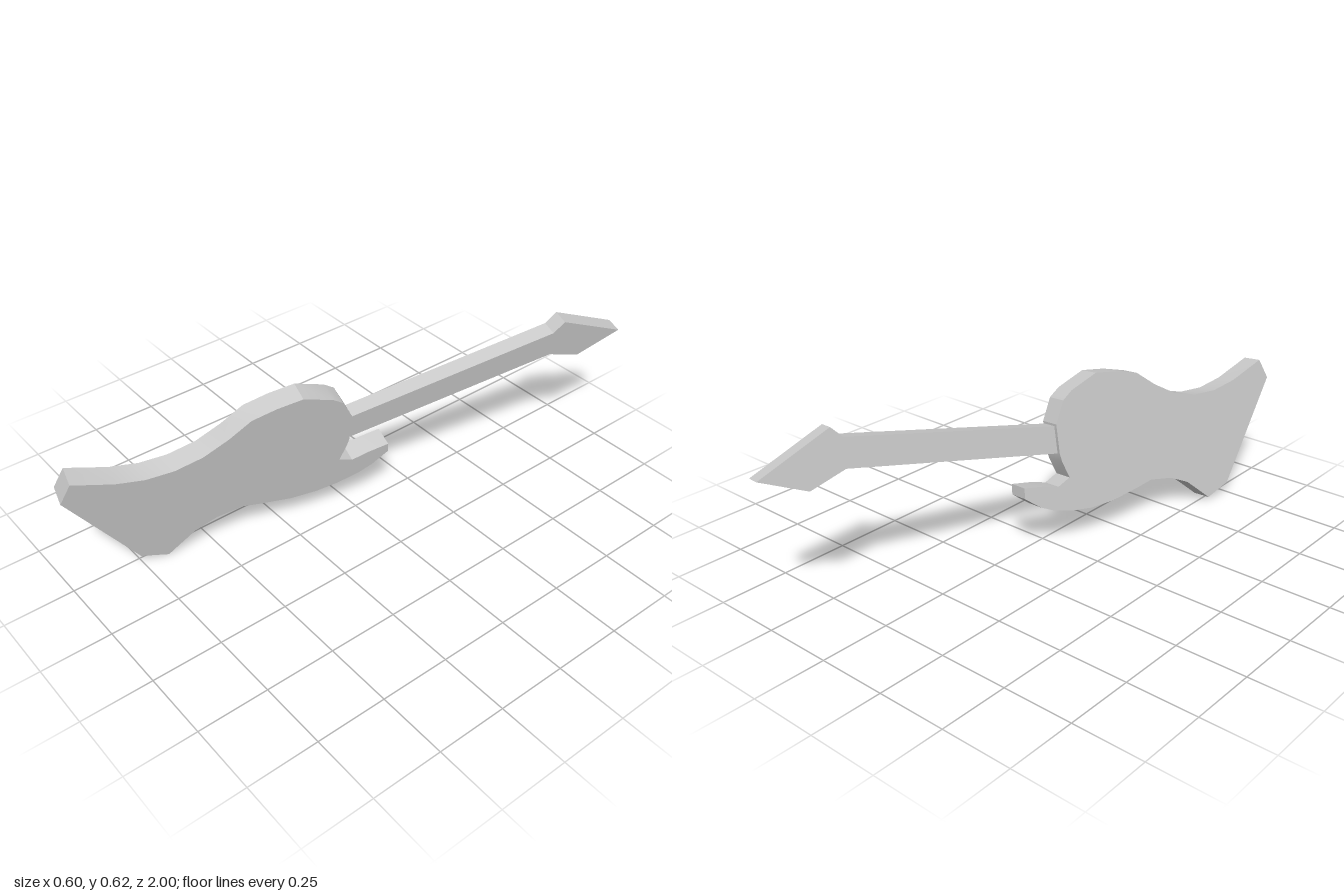
import * as THREE from 'three';
import { toCreasedNormals } from 'three/addons/utils/BufferGeometryUtils.js';

// Slanted plane of the guitar: u runs toward the head, v runs up, normal faces the strings side
const U = new THREE.Vector3(0.255, 0, -1);
const V = new THREE.Vector3(0.18, 1, 0);
const N = U.clone().cross(V).normalize();

// Flat slab cut from an outline of [z, y] points, its front face passing through x = offset
function slab(name, outline, offset, thickness, crease) {
  const shape = new THREE.Shape(outline.map(([z, y]) => new THREE.Vector2(-z, y)));
  const flat = new THREE.ExtrudeGeometry(shape, { depth: thickness, bevelEnabled: false });
  flat.translate(0, 0, -thickness);
  flat.applyMatrix4(new THREE.Matrix4().makeBasis(U, V, N).setPosition(offset, 0, 0));
  const mesh = new THREE.Mesh(
    toCreasedNormals(flat, crease),
    new THREE.MeshStandardMaterial({ color: 0xcccccc })
  );
  mesh.name = name;
  return mesh;
}

export function createModel() {
  const group = new THREE.Group();
  group.name = 'guitar';

  const body = [
    // tail and upper edge
    [1, 0.392], [0.968, 0.466], [0.83, 0.417], [0.735, 0.399], [0.642, 0.403],
    [0.55, 0.43], [0.467, 0.48], [0.395, 0.537], [0.312, 0.56], [0.224, 0.573],
    // upper bout down to the cutaway
    [0.119, 0.535], [0.08, 0.508], [0.04, 0.433], [0.038, 0.33], [0.043, 0.3], [0.064, 0.238],
    // lower horn
    [0.015, 0.217], [-0.045, 0.234], [-0.117, 0.247], [-0.121, 0.21],
    // lower edge back to the tail
    [-0.066, 0.165], [-0.017, 0.14], [0.06, 0.118], [0.135, 0.107], [0.228, 0.107],
    [0.34, 0.125], [0.405, 0.138], [0.495, 0.121], [0.568, 0.085], [0.615, 0.042],
    [0.66, 0], [0.755, 0.034],
  ];

  // Neck with arrow-shaped head; its root is buried in the body
  const neck = [
    [0.06, 0.422], [-0.7, 0.57], [-0.735, 0.609], [-0.985, 0.502],
    [-0.835, 0.432], [-0.71, 0.471], [0.06, 0.325],
  ];

  group.add(slab('body', body, -0.036, 0.079, 0.4));
  group.add(slab('neckAndHead', neck, -0.044, 0.058, 0.2));
  return group;
}
